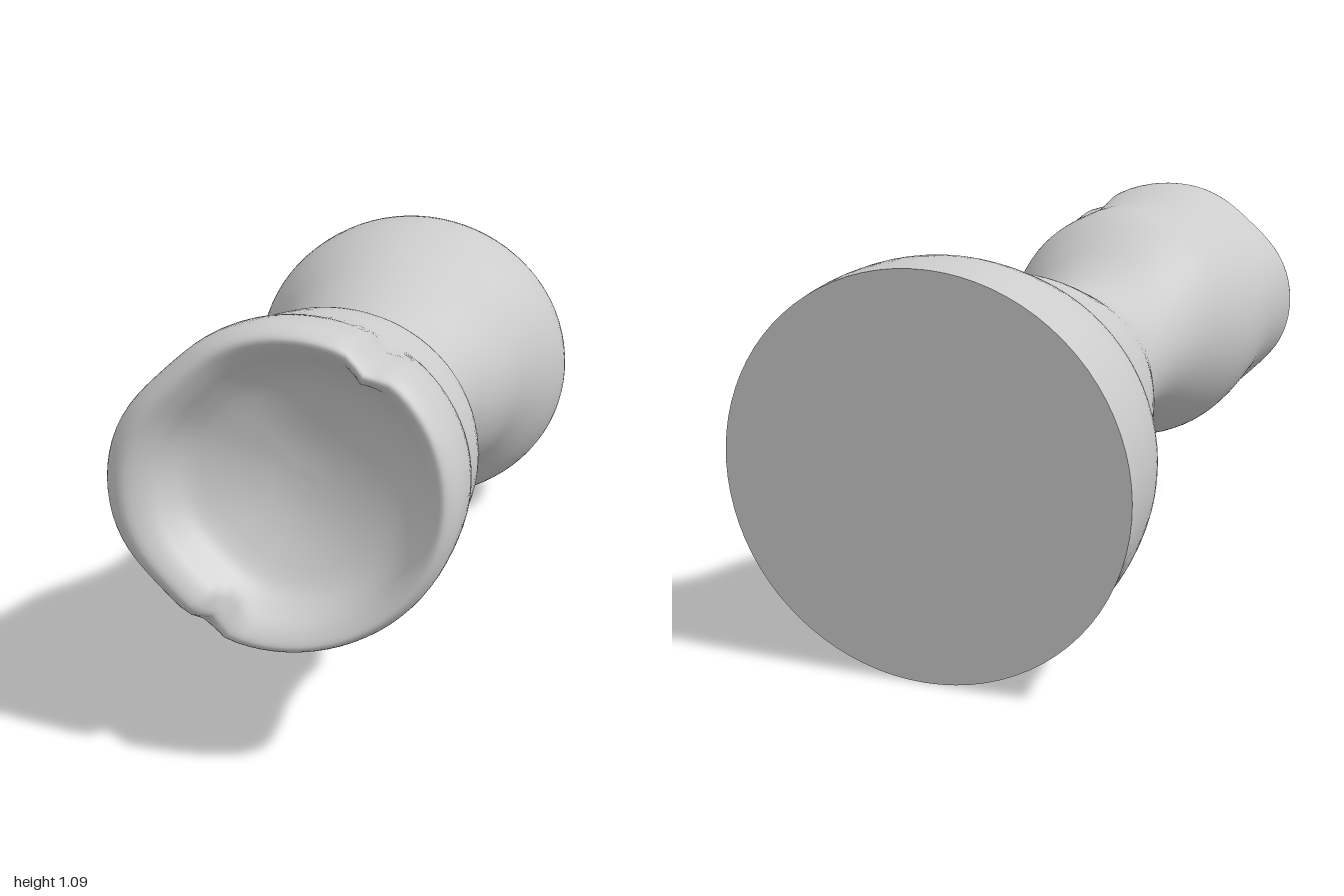
import * as THREE from 'three';

const SIDES = 80;
const STEPS = 4;

// Outer body sections, base to rim: z, left x, right x, bottom y, top y
const BODY = [
  [-0.985, -0.53, 0.505, -0.003, 0.965],
  [-0.9, -0.52, 0.52, 0.016, 0.977],
  [-0.8, -0.51, 0.525, 0.027, 0.98],
  [-0.7, -0.485, 0.49, 0.062, 0.957],
  [-0.6, -0.43, 0.44, 0.14, 0.928],
  [-0.5, -0.388, 0.42, 0.19, 0.912],
  [-0.4, -0.357, 0.403, 0.222, 0.9],
  [-0.3, -0.322, 0.37, 0.26, 0.875],
  [-0.2, -0.28, 0.33, 0.31, 0.848],
  [-0.1, -0.24, 0.305, 0.355, 0.83],
  [0, -0.22, 0.295, 0.385, 0.825],
  [0.1, -0.22, 0.3, 0.397, 0.838],
  [0.2, -0.232, 0.33, 0.388, 0.882],
  [0.3, -0.255, 0.385, 0.357, 0.947],
  [0.4, -0.285, 0.435, 0.32, 1.003],
  [0.5, -0.31, 0.455, 0.297, 1.025],
  [0.6, -0.325, 0.45, 0.303, 1.04],
  [0.7, -0.332, 0.472, 0.328, 1.06],
  [0.8, -0.337, 0.485, 0.333, 1.08],
  [0.9, -0.337, 0.485, 0.335, 1.09],
  [0.94, -0.315, 0.472, 0.345, 1.08],
];

// Rounded rim and shallow bowl, rim to centre of the floor
const CUP = [
  [0.957, -0.275, 0.45, 0.365, 1.06],
  [0.933, -0.225, 0.42, 0.4, 1.03],
  [0.89, -0.195, 0.395, 0.425, 0.99],
  [0.85, -0.155, 0.35, 0.46, 0.935],
  [0.815, -0.06, 0.26, 0.54, 0.85],
  [0.795, 0.03, 0.17, 0.62, 0.77],
  [0.79, 0.1, 0.1, 0.69, 0.69],
];

const bump = (v, centre, width) => Math.exp(-(((v - centre) / width) ** 2));
const { smoothstep } = THREE.MathUtils;

// Catmull-Rom subdivision of the section table
function refine(rows) {
  const out = [];
  const at = (i) => rows[Math.min(Math.max(i, 0), rows.length - 1)];
  for (let i = 0; i < rows.length - 1; i++) {
    for (let s = 0; s < STEPS; s++) {
      const t = s / STEPS;
      out.push(rows[i].map((b, k) => {
        const a = at(i - 1)[k], c = at(i + 1)[k], d = at(i + 2)[k];
        return b + 0.5 * t * (c - a + t * (2 * a - 5 * b + 4 * c - d + t * (3 * (b - c) + d - a)));
      }));
    }
  }
  out.push(rows[rows.length - 1]);
  return out;
}

// Point on one section, with the worn dents and the tilt of both ends
function sectionPoint([z, x0, x1, y0, y1], angle, inside) {
  // Head is flattened on its two right-hand diagonals
  let scale = 1 - 0.05 * bump(Math.abs(angle), 2.36, 0.35) * smoothstep(z, 0.5, 0.8);
  if (!inside) {
    scale -= 0.065 * bump(angle, 1.02, 0.1) * smoothstep(z, 0.58, 0.72);  // upper groove
    scale -= 0.04 * bump(angle, -0.55, 0.2) * bump(z, 0.72, 0.11);        // side dent
  }
  const x = (x0 + x1) / 2 + ((x1 - x0) / 2) * scale * Math.cos(angle);
  const y = (y0 + y1) / 2 + ((y1 - y0) / 2) * scale * Math.sin(angle);
  const head = smoothstep(z, 0.55, 0.92);
  const foot = 1 - smoothstep(z, -0.985, -0.7);
  let dz = head * (-0.12 * (y - 0.71) - 0.04 * (x - 0.08));
  dz += foot * (-0.031 * (y - 0.49) - 0.029 * x);
  dz -= 0.04 * bump(angle, -2.02, 0.08) * smoothstep(z, 0.88, 0.95);      // nick in the rim
  return [x, y, z + dz];
}

// Skin a list of sections; faces look outward for sections advancing along +z
function loft(rows, insideFrom = Infinity) {
  const pos = [], idx = [];
  rows.forEach((row, i) => {
    for (let j = 0; j < SIDES; j++) {
      const angle = -Math.PI + (j / SIDES) * Math.PI * 2;
      pos.push(...sectionPoint(row, angle, i >= insideFrom));
    }
  });
  for (let i = 0; i < rows.length - 1; i++) {
    for (let j = 0; j < SIDES; j++) {
      const k = (j + 1) % SIDES;
      const a = i * SIDES + j, b = i * SIDES + k, c = a + SIDES, d = b + SIDES;
      idx.push(a, b, c, b, d, c);
    }
  }
  const geo = new THREE.BufferGeometry();
  geo.setAttribute('position', new THREE.Float32BufferAttribute(pos, 3));
  geo.setIndex(idx);
  geo.computeVertexNormals();
  return geo;
}

export function createModel() {
  const group = new THREE.Group();
  group.name = 'rookPiece';
  const material = new THREE.MeshStandardMaterial({ color: 0xcccccc });
  const add = (name, geo) => {
    const mesh = new THREE.Mesh(geo, material);
    mesh.name = name;
    group.add(mesh);
  };

  // Turned body, flowing over the rim into the hollow cup
  add('bodyAndCup', loft(refine([...BODY, ...CUP]), (BODY.length + 1) * STEPS));

  // Flat underside, a separate mesh so its edge stays sharp
  const [z, x0, x1, y0, y1] = BODY[0];
  const cx = (x0 + x1) / 2, cy = (y0 + y1) / 2;
  add('baseUnderside', loft([[z, cx, cx, cy, cy], BODY[0]]));

  return group;
}
